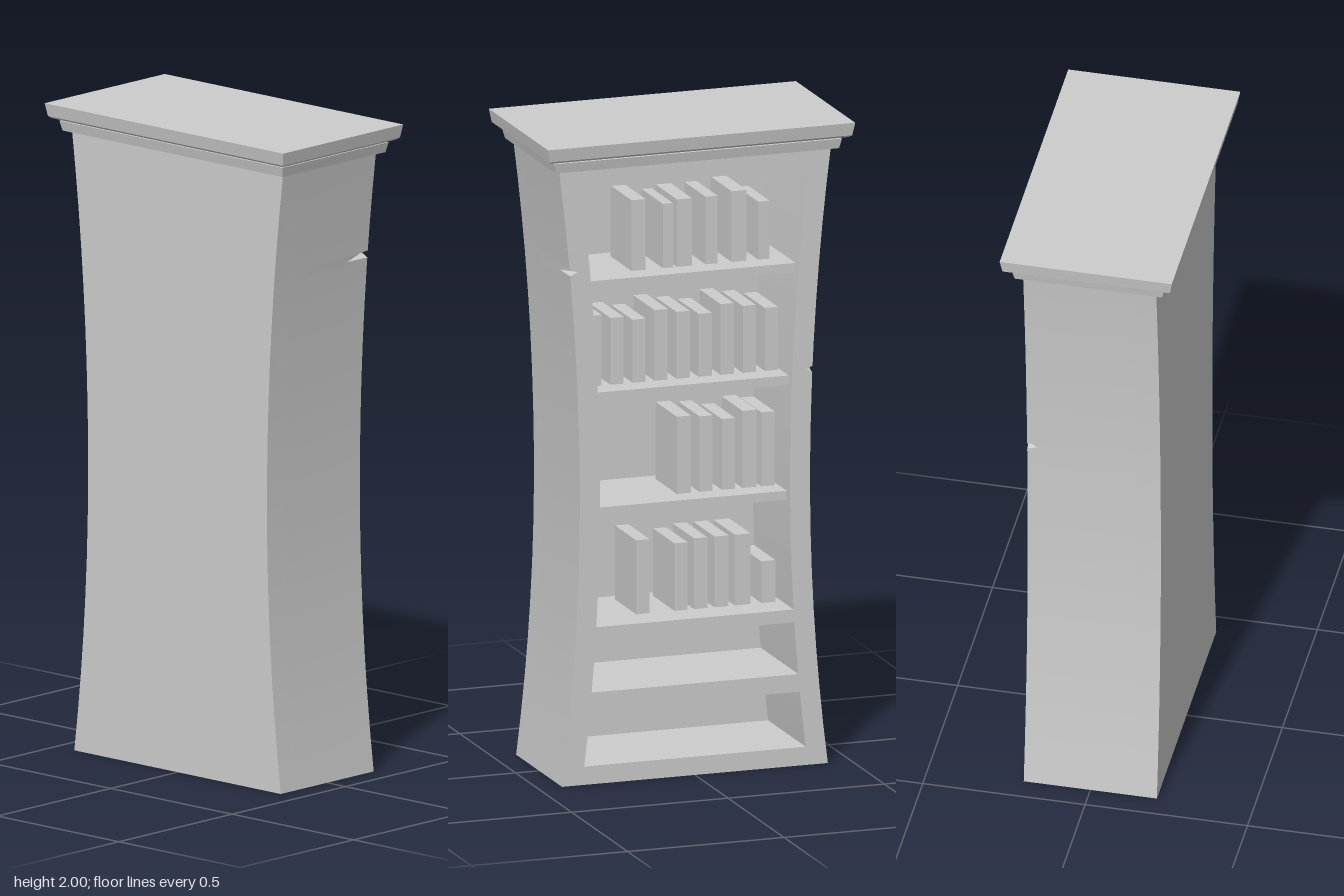
import * as THREE from 'three';
import { toCreasedNormals } from 'three/addons/utils/BufferGeometryUtils.js';

const BACK = -0.205, INNER = 0.13, FRONT = 0.205, TOP = 1.92, WALL = 0.064;

// half width of the waisted cabinet at height y
function halfWidth(y) {
  return y < 0.88 ? 0.368 + 0.057 * ((0.88 - y) / 0.88) ** 2
                  : 0.368 + 0.067 * ((y - 0.88) / 1.04) ** 2;
}

// closed solid through horizontal rings [[x, y, z], ...]
function loft(rings) {
  const pos = [], n = rings[0].length;
  const tri = (a, b, c) => pos.push(...a, ...b, ...c);
  for (let r = 0; r < rings.length - 1; r++) {
    for (let i = 0; i < n; i++) {
      const j = (i + 1) % n, a = rings[r], b = rings[r + 1];
      tri(a[i], b[i], a[j]);
      tri(a[j], b[i], b[j]);
    }
  }
  const lo = rings[0], hi = rings[rings.length - 1];
  for (let i = 1; i < n - 1; i++) {
    tri(lo[0], lo[i], lo[i + 1]);
    tri(hi[0], hi[i + 1], hi[i]);
  }
  const geo = new THREE.BufferGeometry();
  geo.setAttribute('position', new THREE.Float32BufferAttribute(pos, 3));
  geo.computeVertexNormals();
  return toCreasedNormals(geo, 0.4);
}

const rect = (y, hx, z0, z1) => [[-hx, y, z0], [hx, y, z0], [hx, y, z1], [-hx, y, z1]];

function levels(extra = []) {
  const ys = Array.from({ length: 17 }, (_, i) => (i * TOP) / 16);
  return [...ys.filter(y => extra.every(e => Math.abs(e - y) > 0.012)), ...extra].sort((a, b) => a - b);
}

// side wall with a small wedge chipped out of its open edge
function sideWall(side, chipY, chipDepth, chipLength) {
  const rings = levels([chipY - 0.012, chipY, chipY + 0.01]).map(y => {
    const w = halfWidth(y), cut = y === chipY ? chipDepth : 0;
    const ring = [
      [w - WALL, BACK], [w - cut, BACK], [w, BACK + chipLength], [w, INNER], [w - WALL, INNER],
    ].map(([x, z]) => [side * x, y, z]);
    return side > 0 ? ring : ring.reverse();
  });
  return loft(rings);
}

export function createModel() {
  const model = new THREE.Group();
  const grey = new THREE.MeshStandardMaterial({ color: 0xcccccc });
  grey.name = 'plain grey';

  const add = (name, geo, parent = model) => {
    const mesh = new THREE.Mesh(geo, grey);
    mesh.name = name;
    parent.add(mesh);
    return mesh;
  };

  // cabinet shell
  add('closedPanel', loft(levels().map(y => rect(y, halfWidth(y), INNER, FRONT))));
  add('leftWall', sideWall(1, 1.597, 0.025, 0.09));
  add('rightWall', sideWall(-1, 1.23, 0.02, 0.03));

  // slabs between the walls: flush rails and recessed shelves
  const slab = (name, y0, y1, z0) => add(name, loft(
    [y0, y1].map(y => rect(y, halfWidth(y) - WALL + 0.001, z0, INNER))));
  slab('plinth', 0, 0.057, BACK);
  slab('lowerRail', 0.23, 0.285, BACK);
  slab('upperRail', 0.447, 0.487, BACK);
  slab('topRail', 1.855, TOP, BACK);
  for (const y of [0.85, 1.208, 1.556]) slab('shelf', y - 0.028, y, -0.175);

  // stepped cornice
  const cornice = [[1.915, 0.453], [1.946, 0.46], [1.946, 0.45], [1.953, 0.45], [1.953, 0.475],
    [1.96, 0.484], [2, 0.491]];
  add('cornice', loft(cornice.map(([y, x]) => rect(y, x, 0.226 - x, x - 0.226))));

  // books: [left edge x, width, height]
  const rows = [
    { y: 1.556, books: [[0.165, 0.045, 0.22], [0.065, 0.032, 0.2], [0.02, 0.048, 0.21],
      [-0.072, 0.038, 0.21], [-0.155, 0.048, 0.22], [-0.24, 0.036, 0.18]], marked: [2, 4] },
    { y: 1.208, books: Array.from({ length: 9 }, (_, i) =>
      [0.303 - i * 0.0705, 0.042, 0.22 - 0.012 * (i % 3)]), marked: [] },
    { y: 0.85, books: [[0.02, 0.045, 0.24], [-0.052, 0.042, 0.235], [-0.124, 0.042, 0.22],
      [-0.19, 0.045, 0.24], [-0.25, 0.042, 0.23]], marked: [] },
    { y: 0.487, books: [[0.15, 0.043, 0.23], [0.028, 0.042, 0.21], [-0.035, 0.042, 0.22],
      [-0.1, 0.045, 0.22], [-0.165, 0.05, 0.22], [-0.25, 0.045, 0.13]], marked: [0] },
  ];
  const books = new THREE.Group();
  books.name = 'books';
  model.add(books);
  for (const row of rows) {
    row.books.forEach(([x, w, h], i) => {
      add('book', new THREE.BoxGeometry(w, h, 0.19), books)
        .position.set(x - w / 2, row.y + h / 2, -0.005);
      // thin diamond on the cover
      if (row.marked.includes(i)) {
        const diamond = add('coverDiamond', new THREE.CylinderGeometry(0.03, 0.03, 0.004, 4), books);
        diamond.rotation.z = Math.PI / 2;
        diamond.position.set(x - w - 0.002, row.y + h / 2, -0.02);
      }
    });
  }
  return model;
}
